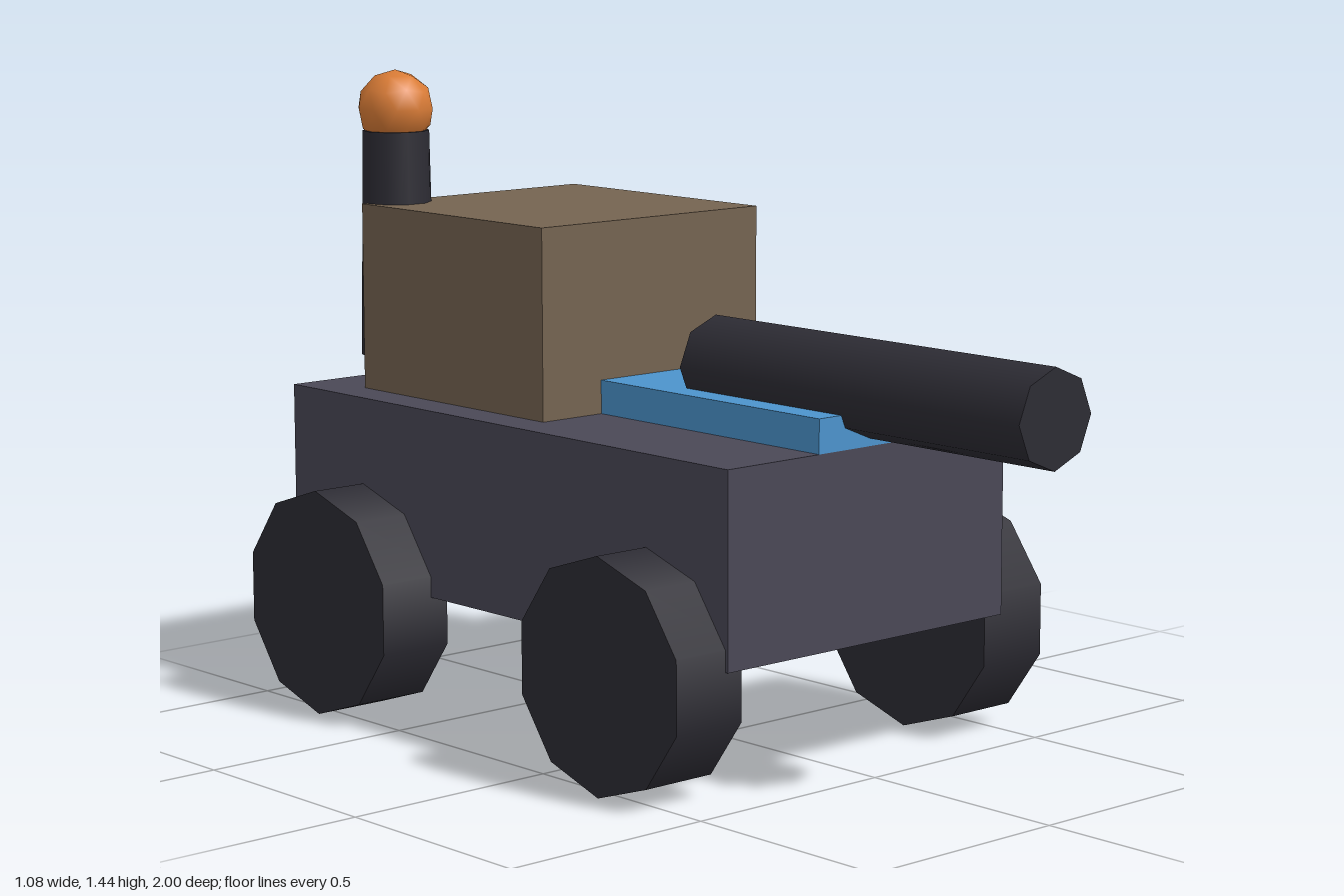
import * as THREE from 'three';

const mat = (name, color) => {
  const m = new THREE.MeshStandardMaterial({ color });
  m.name = name;
  return m;
};

export function createModel() {
  const model = new THREE.Group();
  model.name = 'cannonVehicle';

  const slate = mat('slate', 0x4a4856);
  const dark = mat('charcoal', 0x2d2c34);
  const brown = mat('brown', 0x756451);
  const blue = mat('blue', 0x4c94cd);
  const orange = mat('orange', 0xda7c36);

  const add = (name, geometry, material, x, y, z) => {
    const mesh = new THREE.Mesh(geometry, material);
    mesh.name = name;
    mesh.position.set(x, y, z);
    model.add(mesh);
    return mesh;
  };

  // Box given by its width, height range and depth range, centred on x
  const block = (name, material, w, y0, y1, z0, z1) =>
    add(name, new THREE.BoxGeometry(w, y1 - y0, z1 - z0), material, 0, (y0 + y1) / 2, (z0 + z1) / 2);

  // Hull, raised deck strip and cabin
  block('hull', slate, 0.814, 0.29, 0.713, -1, 0.48);
  block('deckStrip', blue, 0.3, 0.713, 0.788, -1, 0.48);
  block('cabin', brown, 0.634, 0.713, 1.138, -0.848, -0.21);

  // Octagonal gun barrel lying along z
  const barrel = new THREE.CylinderGeometry(0.106, 0.106, 1, 8).rotateX(Math.PI / 2);
  add('barrel', barrel, dark, 0, 0.835, 0.5);

  // Ten-sided wheels with a corner pointing straight up
  const r = 0.2575;
  const wheel = new THREE.CylinderGeometry(r, r, 0.18, 10, 1, false, Math.PI / 2).rotateZ(Math.PI / 2);
  for (const [end, z] of [['front', 0.228], ['rear', -0.742]]) {
    for (const [side, s] of [['Left', 1], ['Right', -1]]) {
      add(`${end}${side}Wheel`, wheel, dark, s * 0.452, r, z);
    }
  }

  // Tapered chimney behind the cabin, topped by a faceted ball
  const chimney = new THREE.CylinderGeometry(0.076, 0.085, 0.517, 10, 1, false, Math.PI / 2);
  add('chimney', chimney, dark, -0.228, 1.0435, -0.834);
  const ball = new THREE.IcosahedronGeometry(0.088, 1)
    .rotateX(-Math.atan((1 + Math.sqrt(5)) / 2))
    .rotateY(Math.PI / 2);
  add('chimneyBall', ball, orange, -0.228, 1.352, -0.834);

  return model;
}
